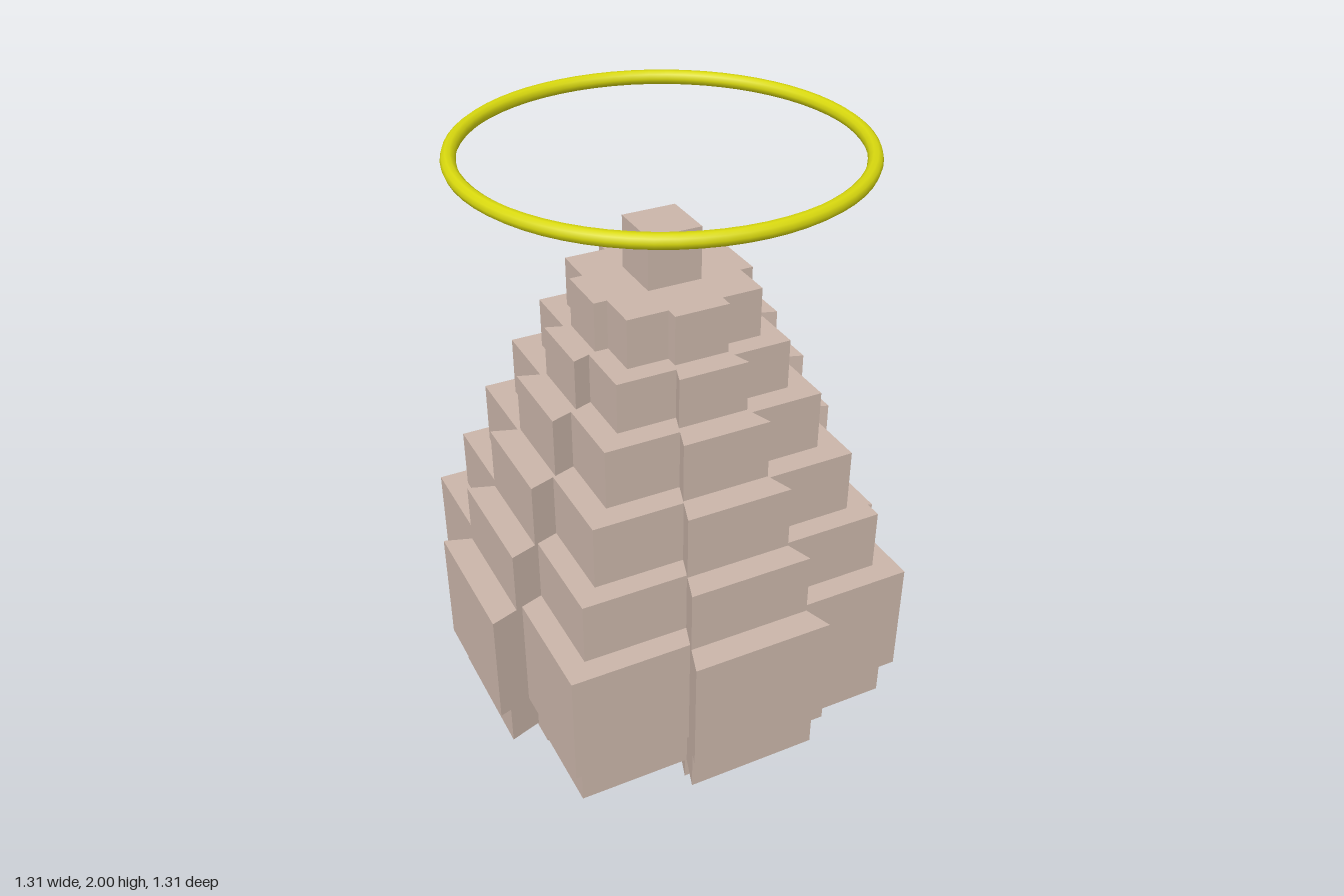
import * as THREE from 'three';

const stone = new THREE.MeshStandardMaterial({ color: 0xcab5a9 });
stone.name = 'warm stone';
const gold = new THREE.MeshStandardMaterial({ color: 0xd8d80e });
gold.name = 'yellow';

// bottom, top, half size of the square core, reach of the side tabs
const tiers = [
  [0, 0.12, 0.245, 0.29],
  [0.12, 0.225, 0.41, 0.49],
  [0.225, 0.355, 0.52, 0.618],
  [0.355, 0.725, 0.55, 0.654],
  [0.725, 0.92, 0.48, 0.57],
  [0.92, 1.12, 0.413, 0.49],
  [1.12, 1.305, 0.34, 0.405],
  [1.305, 1.46, 0.27, 0.322],
  [1.46, 1.61, 0.208, 0.248],
];

// Square outline with one tab per side; the tab is inner/outer wide at its root/tip
function tierOutline(core, reach, inner, outer) {
  const side = [[core, -core], [core, -inner], [reach, -outer], [reach, outer], [core, inner]];
  const points = [];
  for (let i = 0; i < 4; i++) {
    const c = [1, 0, -1, 0][i], s = [0, 1, 0, -1][i];
    for (const [x, y] of side) points.push(new THREE.Vector2(x * c - y * s, x * s + y * c));
  }
  return new THREE.Shape(points);
}

export function createModel() {
  const model = new THREE.Group();
  model.name = 'steppedCairn';

  // Stacked body tiers, tabs flaring outward except on the straight top one
  tiers.forEach(([y0, y1, core, reach], i) => {
    const straight = i === tiers.length - 1;
    const inner = straight ? 0.083 : core / 3;
    const outer = straight ? 0.083 : reach / 3;
    const geometry = new THREE.ExtrudeGeometry(tierOutline(core, reach, inner, outer), {
      depth: y1 - y0, bevelEnabled: false,
    });
    geometry.rotateX(-Math.PI / 2);
    const tier = new THREE.Mesh(geometry, stone);
    tier.name = `bodyTier${i + 1}`;
    tier.position.y = y0;
    model.add(tier);
  });

  // Cap block
  const cap = new THREE.Mesh(new THREE.BoxGeometry(0.166, 0.16, 0.166), stone);
  cap.name = 'capBlock';
  cap.position.y = 1.69;
  model.add(cap);

  // Floating ring
  const ring = new THREE.Mesh(new THREE.TorusGeometry(0.567, 0.021, 10, 64), gold);
  ring.name = 'floatingRing';
  ring.rotation.x = -Math.PI / 2;
  ring.position.y = 1.979;
  model.add(ring);

  return model;
}
